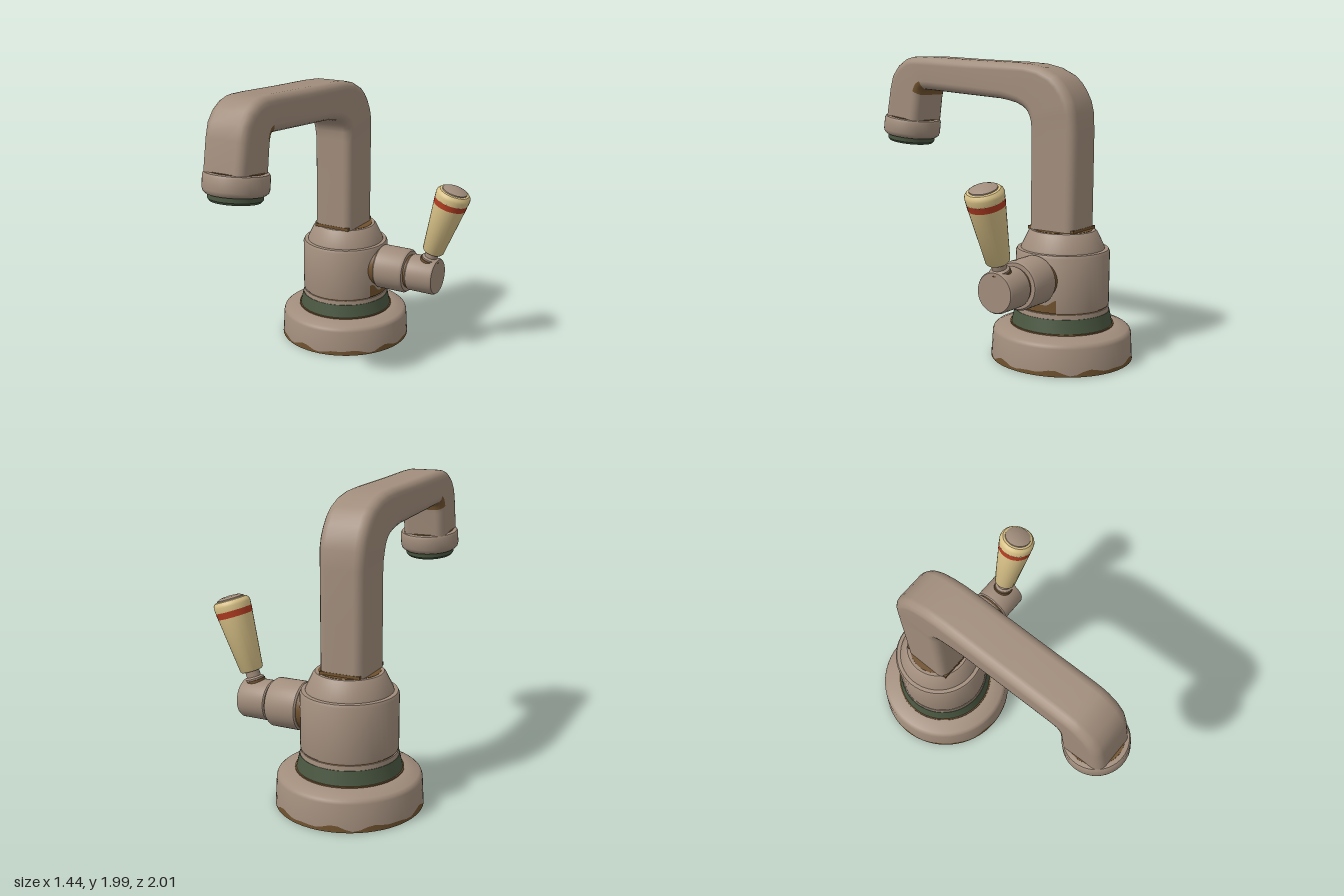
import * as THREE from 'three';
import { toCreasedNormals } from 'three/addons/utils/BufferGeometryUtils.js';

const material = (name, color, extra = {}) =>
  Object.assign(new THREE.MeshStandardMaterial({ color, ...extra }), { name });

export function createModel() {
  const metal = material('agedMetal', 0xa18d7c);
  const green = material('greenSeal', 0x4a5741);
  const grime = material('brownGrime', 0x70522f, { side: THREE.DoubleSide });
  const cream = material('creamGrip', 0xd9c288);
  const red = material('redBand', 0xb23c22);

  const model = new THREE.Group();
  model.name = 'tap';

  const group = (name, x, y, z) => {
    const g = new THREE.Group();
    g.name = name;
    g.position.set(x, y, z);
    model.add(g);
    return g;
  };
  // Turned part: profile runs [radius, height] from bottom to top
  const turned = (parent, name, mat, profile, segments = 48) => {
    const lathe = new THREE.LatheGeometry(profile.map(([r, y]) => new THREE.Vector2(r, y)), segments);
    const mesh = new THREE.Mesh(toCreasedNormals(lathe, 0.6), mat);
    mesh.name = name;
    parent.add(mesh);
    return mesh;
  };
  // Thin stain with an uneven top edge wrapped around a round part
  const stain = (parent, name, rBottom, rTop, y, height, start = 0, arc = Math.PI * 2) => {
    const geo = new THREE.CylinderGeometry(rTop, rBottom, height, 64, 1, true, start, arc);
    const p = geo.attributes.position;
    for (let i = 0; i < p.count; i++) {
      if (p.getY(i) < 0) continue;
      const a = Math.atan2(p.getX(i), p.getZ(i));
      p.setY(i, p.getY(i) - height * (0.4 + 0.25 * Math.sin(a * 9) + 0.2 * Math.sin(a * 14 + 1)));
    }
    const mesh = new THREE.Mesh(geo, grime);
    mesh.name = name;
    mesh.position.y = y + height / 2;
    parent.add(mesh);
  };

  // Pedestal and body
  const body = group('body', -0.25, 0, -0.527);
  turned(body, 'baseFlange', metal, [
    [0, 0], [0.462, 0], [0.471, 0.012], [0.462, 0.18], [0.455, 0.198], [0.44, 0.21], [0.36, 0.232], [0, 0.232],
  ], 64);
  stain(body, 'baseStain', 0.4725, 0.471, 0.004, 0.045);
  turned(body, 'baseGap', grime, [[0.345, 0.22], [0.345, 0.24], [0.3, 0.24]]);
  turned(body, 'sealRing', green, [[0.3, 0.237], [0.337, 0.237], [0.316, 0.33], [0.29, 0.33]]);
  turned(body, 'lowerRing', metal, [[0.29, 0.33], [0.313, 0.33], [0.31, 0.36], [0.29, 0.362]]);
  turned(body, 'lowerGap', grime, [[0.303, 0.355], [0.303, 0.372]]);
  turned(body, 'barrel', metal, [
    [0.28, 0.369], [0.309, 0.369], [0.311, 0.38], [0.311, 0.725], [0.302, 0.742], [0.26, 0.744],
  ]);
  turned(body, 'shoulder', metal, [
    [0.24, 0.74], [0.277, 0.744], [0.274, 0.758], [0.228, 0.852], [0.215, 0.866], [0, 0.866],
  ]);
  turned(body, 'spoutSocket', grime, [[0.195, 0.86], [0.195, 0.868], [0, 0.868]]);
  stain(body, 'barrelStain', 0.3125, 0.3125, 0.37, 0.09, Math.PI / 2 - 0.45, 0.9);

  // Spout: rounded rectangle swept between outer and inner outline points [z, y]
  const stations = [
    [-0.685, 0.85, -0.337, 0.85], [-0.685, 1.2, -0.337, 1.2], [-0.685, 1.52, -0.337, 1.52],
    [-0.674, 1.636, -0.332, 1.583], [-0.655, 1.71, -0.322, 1.61], [-0.62, 1.775, -0.307, 1.636],
    [-0.58, 1.828, -0.288, 1.655], [-0.53, 1.872, -0.262, 1.672], [-0.43, 1.92, -0.214, 1.69],
    [-0.326, 1.944, -0.15, 1.704], [-0.18, 1.956, -0.08, 1.715], [0.2, 1.972, 0.2, 1.734],
    [0.54, 1.99, 0.53, 1.757], [0.65, 1.992, 0.58, 1.76], [0.70, 1.988, 0.592, 1.757],
    [0.75, 1.974, 0.60, 1.75], [0.823, 1.928, 0.606, 1.735], [0.877, 1.86, 0.609, 1.718],
    [0.904, 1.77, 0.614, 1.69], [0.94, 1.577, 0.633, 1.55], [0.945, 1.53, 0.64, 1.49],
  ];
  const ringSize = 20, positions = [], clean = [], dirty = [];
  stations.forEach(([oz, oy, iz, iy], s) => {
    const h = Math.hypot(oz - iz, oy - iy) / 2, w = s < 3 ? 0.15 : 0.156, r = 0.06;
    for (let j = 0; j < ringSize; j++) {
      const corner = Math.floor(j / 5), a = (corner + (j % 5) / 4) * Math.PI / 2;
      const u = (corner % 3 ? -1 : 1) * (w - r) + r * Math.cos(a);
      const v = ((corner < 2 ? 1 : -1) * (h - r) + r * Math.sin(a)) / h;
      positions.push(u, (oy + iy + v * (oy - iy)) / 2, (oz + iz + v * (oz - iz)) / 2);
      if (s === stations.length - 1) continue;
      const n = (j + 1) % ringSize, k = s * ringSize;
      const insideBend = s >= 13 && s <= 16 && j >= 10 && j < 19;
      (insideBend ? dirty : clean).push(
        k + j, k + n, k + ringSize + n, k + j, k + ringSize + n, k + ringSize + j);
    }
  });
  const spoutGeo = new THREE.BufferGeometry();
  spoutGeo.setAttribute('position', new THREE.Float32BufferAttribute(positions, 3));
  spoutGeo.setIndex([...clean, ...dirty]);
  spoutGeo.addGroup(0, clean.length, 0);
  spoutGeo.addGroup(clean.length, dirty.length, 1);
  spoutGeo.computeVertexNormals();
  const spout = new THREE.Mesh(spoutGeo, [metal, grime]);
  spout.name = 'spout';
  spout.position.x = -0.257;
  model.add(spout);

  // Grimy lip where the spout enters the body
  const lip = new THREE.Mesh(new THREE.BoxGeometry(0.27, 0.022, 0.352), grime);
  lip.name = 'spoutFootStain';
  lip.position.set(-0.257, 0.875, -0.511);
  model.add(lip);

  // Outlet nozzle, tipped slightly forward
  const outlet = group('outlet', -0.25, 1.49, 0.797);
  outlet.rotation.x = -0.13;
  turned(outlet, 'outletCollar', metal, [
    [0.16, -0.068], [0.185, -0.068], [0.2, -0.055], [0.206, -0.035], [0.206, 0.045], [0.198, 0.06], [0.17, 0.064], [0, 0.064],
  ]);
  turned(outlet, 'outletStain', grime, [[0.172, 0.06], [0.172, 0.067], [0, 0.067]]);
  turned(outlet, 'outletSeal', green, [
    [0.138, -0.08], [0.138, -0.115], [0.158, -0.115], [0.17, -0.1], [0.172, -0.06],
  ]);
  turned(outlet, 'outletMouth', grime, [[0, -0.088], [0.142, -0.088]]);

  // Side valve, turned about the x axis
  const valve = group('valve', 0, 0.58, -0.522);
  valve.rotation.z = -Math.PI / 2;
  turned(valve, 'valveRoot', grime, [[0.145, -0.05], [0.145, 0.07]]);
  turned(valve, 'valveCollar', metal, [
    [0.1, 0.06], [0.15, 0.06], [0.159, 0.07], [0.159, 0.268], [0.148, 0.285], [0, 0.285],
  ]);
  turned(valve, 'valveGap', grime, [[0.12, 0.28], [0.12, 0.31]]);
  turned(valve, 'valveHub', metal, [
    [0.1, 0.302], [0.125, 0.302], [0.132, 0.31], [0.132, 0.492], [0.124, 0.505], [0, 0.505],
  ]);

  // Lever with a tapered grip
  const lever = group('lever', 0.463, 0.768, -0.52);
  lever.rotation.z = -0.31;
  turned(lever, 'leverStem', metal, [[0.062, -0.1], [0.062, -0.055], [0.046, -0.045], [0.046, 0.01]], 32);
  turned(lever, 'leverStemStain', grime, [[0.068, -0.09], [0.068, -0.066], [0.05, -0.064]], 32);
  turned(lever, 'gripShaft', cream, [[0, -0.004], [0.068, -0.004], [0.076, 0.006], [0.115, 0.37]], 32);
  turned(lever, 'gripBand', red, [[0.1155, 0.37], [0.1195, 0.412]], 32);
  turned(lever, 'gripTop', cream, [[0.119, 0.412], [0.122, 0.445], [0.118, 0.462], [0.104, 0.477], [0.085, 0.481]], 32);
  turned(lever, 'gripCap', metal, [[0.09, 0.475], [0.088, 0.487], [0.06, 0.499], [0, 0.504]], 32);

  return model;
}
